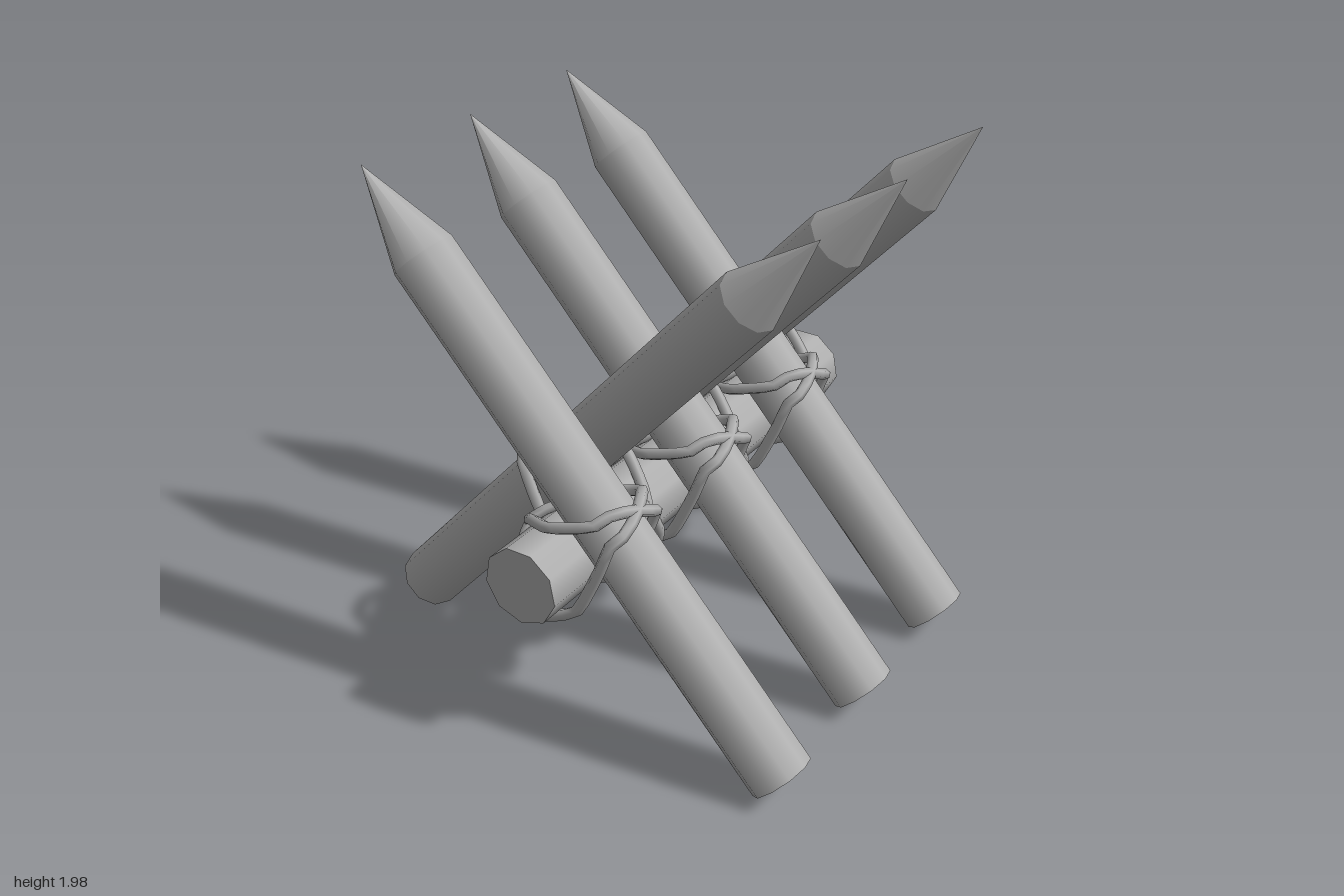
import * as THREE from 'three';

const LOG_Y = 0.688;
const LEAN = 0.737; // stake tilt from vertical

// Rope loop round stake and log: x = outward from log, y = along stake, z = along log
const LOOP = [
  [0.425, 0, 0], [0.405, 0.04, 0.09], [0.34, 0.045, 0.143], [0.16, 0.12, 0.143],
  [-0.04, 0.172, 0.01], [-0.165, 0.04, -0.09], [-0.135, -0.125, -0.14],
  [0.04, -0.18, -0.146], [0.25, -0.1, -0.146], [0.36, -0.045, -0.143], [0.405, -0.04, -0.09],
];

export function createModel() {
  const model = new THREE.Group();
  model.name = 'spikedBarricade';

  const grey = new THREE.MeshStandardMaterial({ color: 0xb0b0b0 });
  grey.name = 'plain grey';

  const add = (parent, name, geometry) => {
    const mesh = new THREE.Mesh(geometry, grey);
    mesh.name = name;
    parent.add(mesh);
    return mesh;
  };

  // Horizontal log carrying the stakes
  const log = add(model, 'log', new THREE.CylinderGeometry(0.15, 0.15, 2, 9));
  log.rotation.x = Math.PI / 2;
  log.position.set(-0.02, LOG_Y, 0);

  // Stake shaft and sharpened point, lying against the log
  const bottom = -1.054, shoulder = 1.134, tip = 1.51, radius = 0.122;
  const shaftGeo = new THREE.CylinderGeometry(radius, radius, shoulder - bottom, 10, 1, false, Math.PI / 2);
  shaftGeo.translate(0.267, (shoulder + bottom) / 2, 0);
  const pointGeo = new THREE.ConeGeometry(radius, tip - shoulder, 10, 1, true, Math.PI / 2);
  pointGeo.translate(0.267, (tip + shoulder) / 2, 0);

  // Two mirrored loops form the crossed lashing
  const ropeGeos = [1, -1].map((side) => {
    const points = LOOP.map(([x, y, z]) => new THREE.Vector3(x, y, z * side));
    const curve = new THREE.CatmullRomCurve3(points, true, 'catmullrom', 0.25);
    return new THREE.TubeGeometry(curve, 30, 0.022, 6, true);
  });

  // Stakes lean alternately to either side
  for (let i = 0; i < 6; i++) {
    const unit = new THREE.Group();
    unit.name = i % 2 ? 'rightBaseStakeUnit' : 'leftBaseStakeUnit';
    unit.position.set(-0.013, LOG_Y, 0.745 - i * 0.299);
    unit.rotation.y = i % 2 ? Math.PI : 0;
    const tilted = new THREE.Group();
    tilted.name = 'lashedStake';
    tilted.rotation.z = LEAN;
    add(tilted, 'stakeShaft', shaftGeo);
    add(tilted, 'stakePoint', pointGeo);
    ropeGeos.forEach((geo) => add(tilted, 'ropeLashing', geo));
    unit.add(tilted);
    model.add(unit);
  }
  return model;
}
